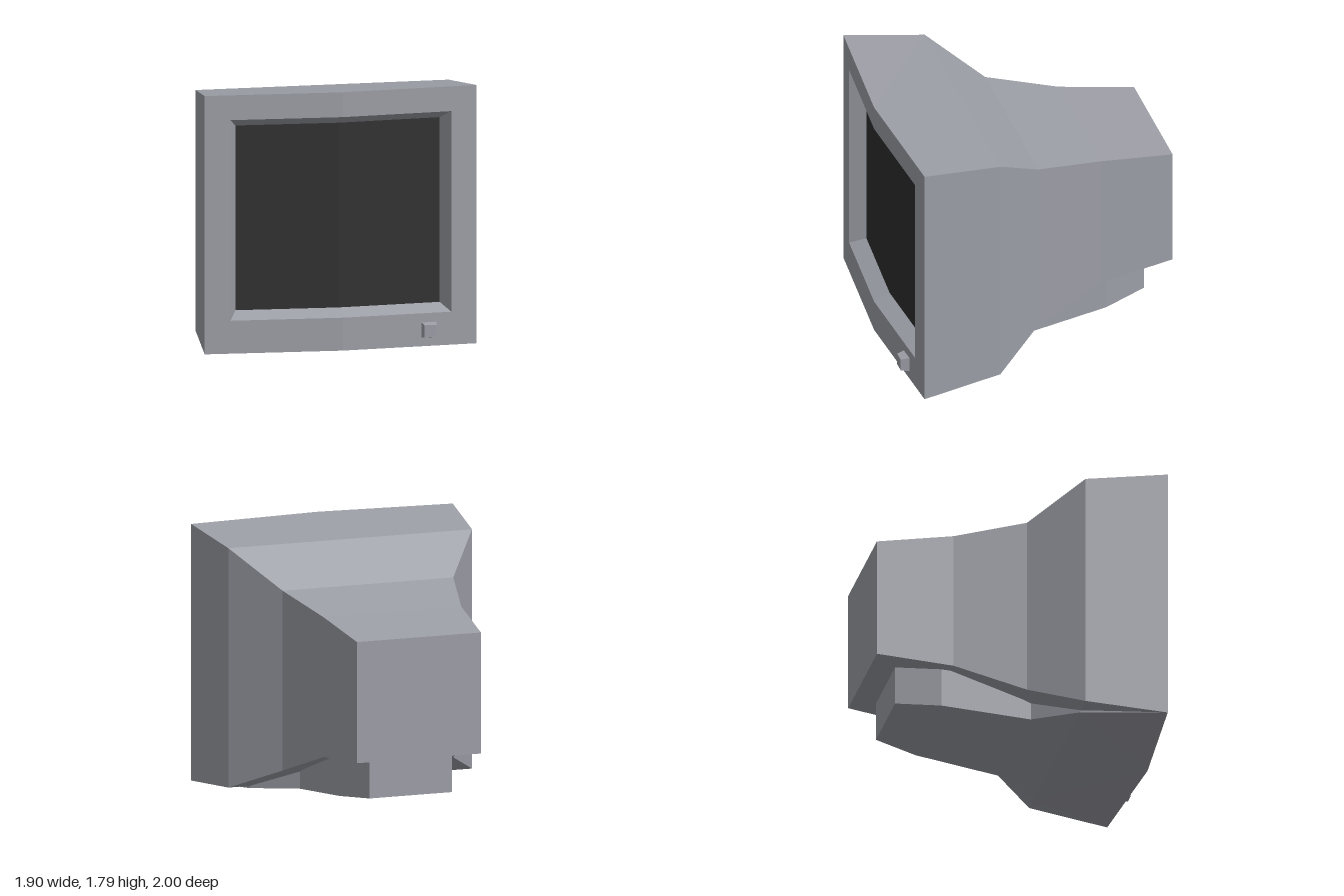
import * as THREE from 'three';

// Rectangular ring, counter-clockwise from the front, with middle points bowed forward.
const bow = (x, w, amount) => amount * (1 - Math.abs(x) / w);
function ring(w, y0, y1, z, amount = 0) {
  return [[-w, y0], [0, y0], [w, y0], [w, y1], [0, y1], [-w, y1]]
    .map(([x, y]) => [x, y, z + bow(x, w, amount)]);
}

function geometryFrom(triangles) {
  const g = new THREE.BufferGeometry();
  g.setAttribute('position', new THREE.Float32BufferAttribute(triangles.flat(2), 3));
  g.computeVertexNormals();
  return g;
}

// Two flat halves closing a ring, facing the front.
function cap(r) {
  const quad = (a, b, c, d) => [[r[a], r[b], r[c]], [r[a], r[c], r[d]]];
  return [...quad(0, 1, 4, 5), ...quad(1, 2, 3, 4)];
}

// Skin over rings given from back to front.
function loft(rings, closeBack, closeFront) {
  const tris = [];
  for (let k = 0; k + 1 < rings.length; k++) {
    const a = rings[k], b = rings[k + 1];
    for (let i = 0; i < 6; i++) {
      const j = (i + 1) % 6;
      if (i % 3 === 1) tris.push([a[i], a[j], b[i]], [a[j], b[j], b[i]]);
      else tris.push([a[i], a[j], b[j]], [a[i], b[j], b[i]]);
    }
  }
  if (closeBack) tris.push(...cap(rings[0]).map(t => [t[0], t[2], t[1]]));
  if (closeFront) tris.push(...cap(rings[rings.length - 1]));
  return geometryFrom(tris);
}

export function createModel() {
  const group = new THREE.Group();
  const plastic = new THREE.MeshStandardMaterial({ color: 0x9c9ea6, flatShading: true });
  plastic.name = 'grey plastic';
  const glass = new THREE.MeshStandardMaterial({ color: 0x2d2d2d, flatShading: true });
  glass.name = 'dark glass';

  const add = (name, geometry, material) => {
    const mesh = new THREE.Mesh(geometry, material);
    mesh.name = name;
    group.add(mesh);
    return mesh;
  };

  // Rear housing, bowed front frame and bevel leading in to the screen
  const slope = 0.07 / 0.95;
  const frontRing = (w, y0, y1, depth) => ring(w, y0, y1, 0.99 - slope * w - depth, slope * w);
  const screenEdge = frontRing(0.715, 0.28, 1.56, 0.11);
  add('housing', loft([
    ring(0.45, 0.475, 1.32, -1),
    ring(0.5, 0.415, 1.39, -0.475),
    ring(0.62, 0.23, 1.485, 0.01),
    ring(0.885, 0.06, 1.73, 0.36),
    frontRing(0.95, 0, 1.79, 0),
    frontRing(0.772, 0.228, 1.618, 0),
    screenEdge,
  ], true, false), plastic);

  // Screen
  add('screen', geometryFrom(cap(screenEdge)), glass);

  // Base under the housing, its top hidden inside
  add('base', loft([
    ring(0.3, 0.185, 0.5, -0.84),
    ring(0.41, 0.15, 0.46, -0.54),
    ring(0.47, 0.08, 0.25, 0.07),
    ring(0.73, 0.045, 0.07, 0.36),
    frontRing(0.95, 0, 0.001, 0.001),
  ], true, false), plastic);

  // Power button
  const button = add('powerButton', loft([
    ring(0.053, -0.053, 0.053, 0.93),
    ring(0.053, -0.053, 0.053, 0.945),
    ring(0.042, -0.042, 0.042, 1),
  ], false, true), plastic);
  button.position.set(0.612, 0.112, 0);

  return group;
}
